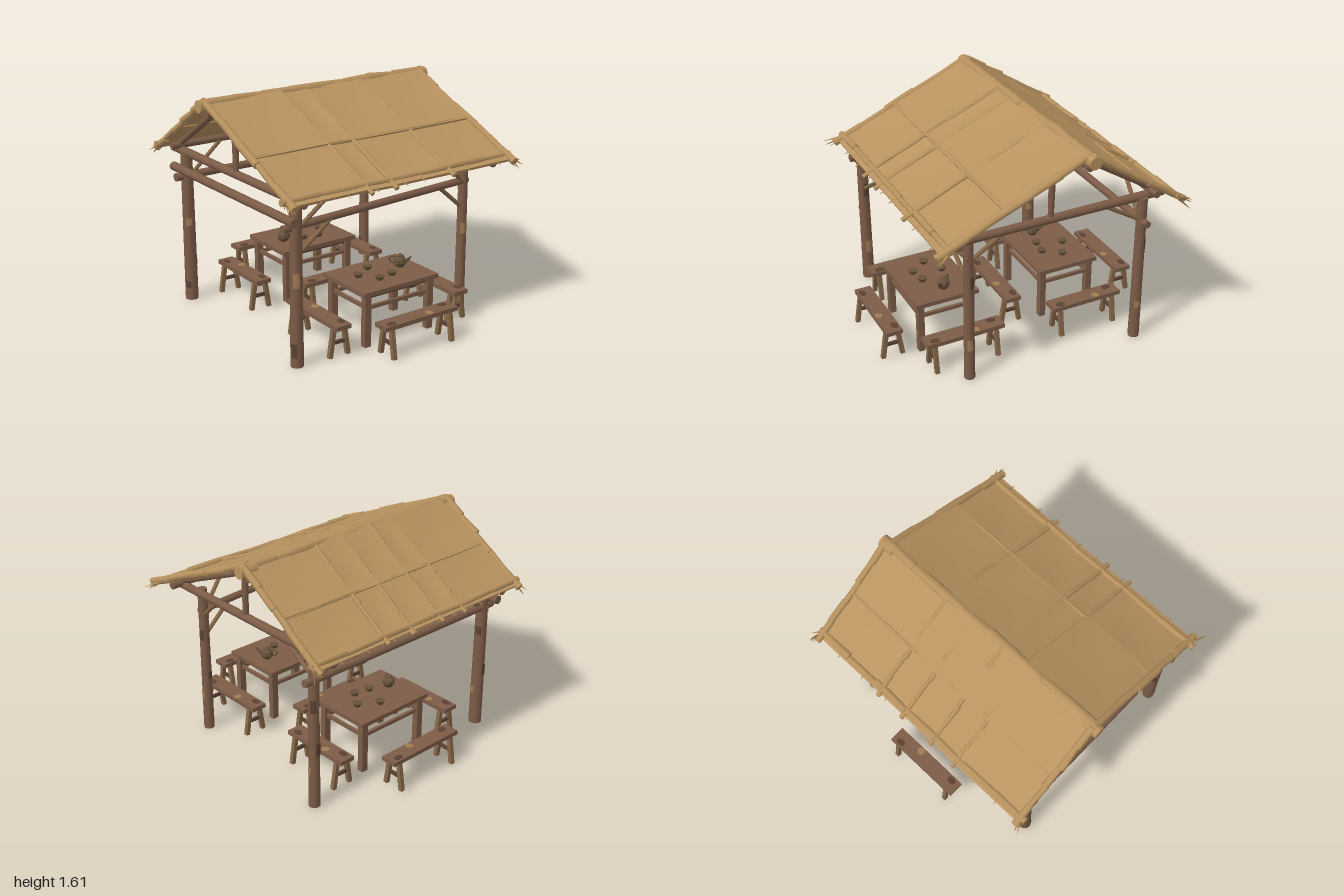
import * as THREE from 'three';

const mat = (name, color, extra = {}) => new THREE.MeshStandardMaterial({ name, color, ...extra });
const straw = mat('straw', 0xb8925f);
const strawDark = mat('dark straw', 0x8f6d45);
const wood = mat('wood', 0x7c5c47);
const woodDark = mat('dark wood', 0x5a4133);
const woodPale = mat('pale wood', 0xa07c52);
const legWood = mat('leg wood', 0x846748);
const clay = mat('clay', 0x66523c, { flatShading: true });

let seed = 7;
const rnd = (s = 1) => {
  seed = (seed * 16807) % 2147483647;
  return (seed / 2147483647 - 0.5) * 2 * s;
};
const V = (x, y, z) => new THREE.Vector3(x, y, z);

function add(parent, name, geo, material, x = 0, y = 0, z = 0) {
  const m = new THREE.Mesh(geo, material);
  m.name = name;
  m.position.set(x, y, z);
  parent.add(m);
  return m;
}
const box = (p, name, w, h, d, material, x, y, z) =>
  add(p, name, new THREE.BoxGeometry(w, h, d), material, x, y, z);

// Round pole from a to b
function rod(p, name, a, b, r1, r2, material, sides = 9) {
  const d = b.clone().sub(a);
  const m = add(p, name, new THREE.CylinderGeometry(r2, r1, d.length(), sides), material);
  m.position.copy(a).addScaledVector(d, 0.5);
  m.quaternion.setFromUnitVectors(V(0, 1, 0), d.normalize());
  return m;
}

// Square bar from a to b
function bar(p, name, a, b, w, material) {
  const m = rod(p, name, a, b, w * 0.707, w * 0.707, material, 4);
  m.geometry = new THREE.BoxGeometry(w, a.distanceTo(b), w);
  return m;
}

// Bench with its length along z
function bench(x, z, turned, length = 0.61) {
  const g = new THREE.Group();
  g.name = 'bench';
  box(g, 'benchSeat', 0.118, 0.03, length, wood, 0, 0.222, 0);
  for (const e of [-1, 1]) {
    const lz = e * (length / 2 - 0.06);
    for (const s of [-1, 1])
      bar(g, 'benchLeg', V(s * 0.072, 0.004, lz), V(s * 0.04, 0.212, lz), 0.03, legWood);
    box(g, 'benchRung', 0.1, 0.022, 0.02, woodDark, 0, 0.105, lz);
    const disc = add(g, 'seatStain', new THREE.CylinderGeometry(0.024, 0.024, 0.004, 9), woodDark,
      e * 0.025, 0.237, e * (length / 2 - 0.07));
    disc.scale.z = 1.5;
  }
  add(g, 'seatWear', new THREE.CylinderGeometry(0.028, 0.028, 0.004, 9), woodPale, 0.028, 0.237, -0.08);
  g.position.set(x, 0, z);
  if (turned) g.rotation.y = Math.PI / 2;
  return g;
}

// Teapot with spout, handle and lid
function teapot(x, z, angle) {
  const g = new THREE.Group();
  g.name = 'teapot';
  const profile = [[0.001, 0], [0.028, 0], [0.046, 0.03], [0.042, 0.058], [0.024, 0.075], [0.028, 0.08], [0.012, 0.09], [0.001, 0.098]];
  add(g, 'potBody', new THREE.LatheGeometry(profile.map(p => new THREE.Vector2(...p)), 8), clay);
  rod(g, 'potSpout', V(0.035, 0.035, 0), V(0.078, 0.078, 0), 0.014, 0.007, clay, 6);
  add(g, 'potHandle', new THREE.TorusGeometry(0.024, 0.006, 5, 10), clay, -0.05, 0.048, 0);
  g.position.set(x, 0.4, z);
  g.rotation.y = angle;
  return g;
}

// Table with stretchers and tableware
function table(x, flip) {
  const g = new THREE.Group();
  g.name = 'table';
  box(g, 'tableTop', 0.47, 0.03, 0.63, wood, 0, 0.385, 0);
  for (const s of [-1, 1]) {
    box(g, 'tableApron', 0.37, 0.03, 0.02, woodDark, 0, 0.355, s * 0.265);
    box(g, 'tableApron', 0.02, 0.03, 0.53, woodDark, s * 0.185, 0.355, 0);
    box(g, 'tableStretcher', 0.37, 0.025, 0.022, wood, 0, 0.278, s * 0.265);
    box(g, 'tableStretcher', 0.022, 0.025, 0.53, wood, s * 0.185, 0.272, 0);
    for (const e of [-1, 1]) box(g, 'tableLeg', 0.045, 0.37, 0.05, wood, s * 0.19, 0.185, e * 0.265);
  }
  g.add(teapot(flip * -0.025, flip * -0.185, flip > 0 ? 0.7 : 2.6));
  for (const [cx, cz] of [[-0.11, 0.03], [0.09, 0.08], [0.07, -0.04], [-0.03, 0.17]])
    add(g, 'cup', new THREE.CylinderGeometry(0.035, 0.022, 0.028, 8), clay, cx, 0.414, flip * cz);
  g.position.x = x;
  return g;
}

// Post with thin bark patches
function post(p, x, z, r) {
  add(p, 'post', new THREE.CylinderGeometry(r * 0.88, r, 1.11, 12), wood, x, 0.555, z);
  for (let i = 0; i < 6; i++) {
    const y = 0.12 + i * 0.16, pr = r * (1 - 0.12 * y / 1.11) + 0.003;
    add(p, 'barkPatch', new THREE.CylinderGeometry(pr, pr, 0.08 + rnd(0.03), 5, 1, true, i * 2.3 + rnd(0.5), 1),
      i % 2 ? woodPale : woodDark, x, y, z);
  }
}

// Point on a roof slope: t from ridge to eave, off along the normal
const RIDGE = [-0.22, 1.575];
const EAVES = { left: [-0.91, 1.125], right: [0.81, 1.125] };
function slope(side, t, z, off = 0) {
  const dx = EAVES[side][0] - RIDGE[0], dy = EAVES[side][1] - RIDGE[1], l = Math.hypot(dx, dy);
  return V(RIDGE[0] + dx * t - Math.sign(dx) * dy / l * off, RIDGE[1] + dy * t + Math.abs(dx) / l * off, z);
}

// Sagging straw sheet between two seams
function sheet(p, side, t0, t1, z0, z1, lift) {
  const geo = new THREE.BoxGeometry(1, 1, 1, 5, 1, 6), pos = geo.attributes.position;
  const skew = rnd(0.008);
  for (let i = 0; i < pos.count; i++) {
    const u = side === 'right' ? pos.getX(i) + 0.5 : 0.5 - pos.getX(i), v = pos.getZ(i) + 0.5;
    const sag = -0.014 * Math.sin(Math.PI * u) * Math.sin(Math.PI * v) + skew * (v - 0.5);
    const q = slope(side, t0 + (t1 - t0) * u, z0 + (z1 - z0) * v, lift + sag + pos.getY(i) * 0.02);
    pos.setXYZ(i, q.x, q.y, q.z);
  }
  geo.computeVertexNormals();
  add(p, 'roofSheet', geo, straw);
}

// Uneven bundle made of short overlapping poles
function bundle(p, name, a, b, r, n) {
  for (let i = 0; i < n; i++) {
    const s = a.clone().lerp(b, i / n), e = a.clone().lerp(b, (i + 1.06) / n);
    for (const q of [s, e]) q.add(V(rnd(0.005), rnd(0.005), rnd(0.005)));
    rod(p, name, s, e, r * (1 + rnd(0.2)), r * (1 + rnd(0.2)), straw, 7);
  }
}

function buildRoof() {
  const g = new THREE.Group();
  g.name = 'roof';
  const layout = {
    left: { z: [-0.92, -0.35, -0.12, 0.14, 0.35, 0.91], mid: 0.52 },
    right: { z: [-0.89, -0.35, 0.13, 0.33, 0.91], mid: 0.56 },
  };
  for (const side of ['left', 'right']) {
    const { z, mid } = layout[side], last = z.length - 1;
    for (let i = 0; i < last; i++) {
      sheet(g, side, 0, mid + 0.015, z[i], z[i + 1], 0.006 + rnd(0.004));
      sheet(g, side, mid, 1, z[i], z[i + 1], -0.004 + rnd(0.004));
    }
    z.forEach((zz, i) => {
      const edge = i === 0 || i === last;
      bundle(g, edge ? 'gableEdge' : 'roofSeam', slope(side, 0, zz, 0.004), slope(side, 1.02, zz, 0.004), edge ? 0.025 : 0.015, 5);
    });
    bundle(g, 'middleSeam', slope(side, mid, z[0], 0.008), slope(side, mid, z[last], 0.008), 0.011, 6);
    bundle(g, 'eaveEdge', slope(side, 0.95, z[0] - 0.03, 0.004), slope(side, 0.95, z[last] + 0.03, 0.004), 0.022, 7);
    // Loose straw at the corners and along the eave
    for (const zz of [z[0], z[last]]) for (let k = 0; k < 6; k++) {
      const tip = slope(side, 1.04 + rnd(0.05), zz + Math.sign(zz) * 0.035 + rnd(0.03), rnd(0.035));
      rod(g, 'looseStraw', slope(side, 0.93, zz, 0), tip, 0.012, 0.001, k % 2 ? straw : strawDark, 5);
    }
    for (let k = 0; k < 8; k++) {
      const zz = -0.75 + k * 0.21 + rnd(0.05);
      rod(g, 'eaveStraw', slope(side, 0.95, zz), slope(side, 1.025, zz + rnd(0.02)), 0.01, 0.002, straw, 5);
    }
  }
  // Ridge cap of overlapping rolls, with a thicker roll at each end
  bundle(g, 'ridgeCap', V(-0.22, 1.565, -0.9), V(-0.21, 1.565, 0.9), 0.036, 8);
  for (const s of [-1, 1]) rod(g, 'ridgeEnd', V(-0.22, 1.55, s * 0.84), V(-0.22, 1.55, s * 0.96), 0.05, 0.045, straw, 8);
  return g;
}

function buildFrame() {
  const g = new THREE.Group();
  g.name = 'frame';
  post(g, -0.705, 0.8, 0.047);
  post(g, 0.68, 0.8, 0.044);
  post(g, -0.71, -0.78, 0.04);
  post(g, 0.54, -0.7, 0.038);
  // Gable trusses
  for (const z of [0.8, -0.76]) {
    rod(g, 'tieBeam', V(-0.88, 1.11, z), V(0.78, 1.11, z), 0.032, 0.028, wood);
    rod(g, 'kingPost', V(-0.02, 1.12, z), V(-0.025, 1.47, z), 0.02, 0.025, wood);
    for (const side of ['left', 'right'])
      rod(g, 'rafter', slope(side, 0, z, -0.05), slope(side, 0.94, z, -0.04), 0.026, 0.022, wood);
  }
  rod(g, 'frontBeam', V(-0.8, 0.995, 0.855), V(0.75, 0.995, 0.855), 0.032, 0.03, wood);
  rod(g, 'ridgeBeam', V(-0.22, 1.495, -0.9), V(-0.22, 1.495, 0.9), 0.03, 0.033, wood);
  // Long side beams and eave purlins
  rod(g, 'sideBeam', V(-0.71, 0.935, -0.86), V(-0.71, 0.935, 0.89), 0.026, 0.03, wood);
  rod(g, 'sideBeam', V(0.54, 0.945, -0.73), V(0.68, 0.945, 0.9), 0.026, 0.026, wood);
  rod(g, 'purlin', V(-0.77, 1.15, -0.86), V(-0.77, 1.15, 0.88), 0.026, 0.026, wood);
  rod(g, 'purlin', V(0.67, 1.13, -0.86), V(0.67, 1.13, 0.88), 0.026, 0.026, wood);
  // Diagonal braces
  const braces = [
    [-0.7, 0.94, -0.77, -0.43, 1.1, -0.76], [0.54, 0.9, -0.7, 0.3, 1.1, -0.75],
    [0.68, 0.93, 0.78, 0.66, 1.13, 0.49], [0.54, 0.92, -0.7, 0.62, 1.12, -0.48],
    [0.68, 0.77, 0.77, 0.66, 0.94, 0.52], [0.54, 0.75, -0.69, 0.56, 0.94, -0.46],
    [-0.705, 0.93, 0.78, -0.76, 1.14, 0.49], [-0.71, 0.93, -0.76, -0.76, 1.14, -0.48],
  ];
  for (const [a, b, c, d, e, f] of braces) rod(g, 'brace', V(a, b, c), V(d, e, f), 0.015, 0.015, legWood, 7);
  return g;
}

export function createModel() {
  const model = new THREE.Group();
  model.name = 'thatchedPavilion';
  model.add(buildRoof(), buildFrame(), table(-0.435, -1), table(0.515, 1));
  for (const x of [-0.91, 0, 0.91]) model.add(bench(x, 0, false));
  for (const z of [0.5, -0.5]) model.add(bench(-0.455, z, true, 0.54), bench(0.49, z, true, 0.58));
  return model;
}
